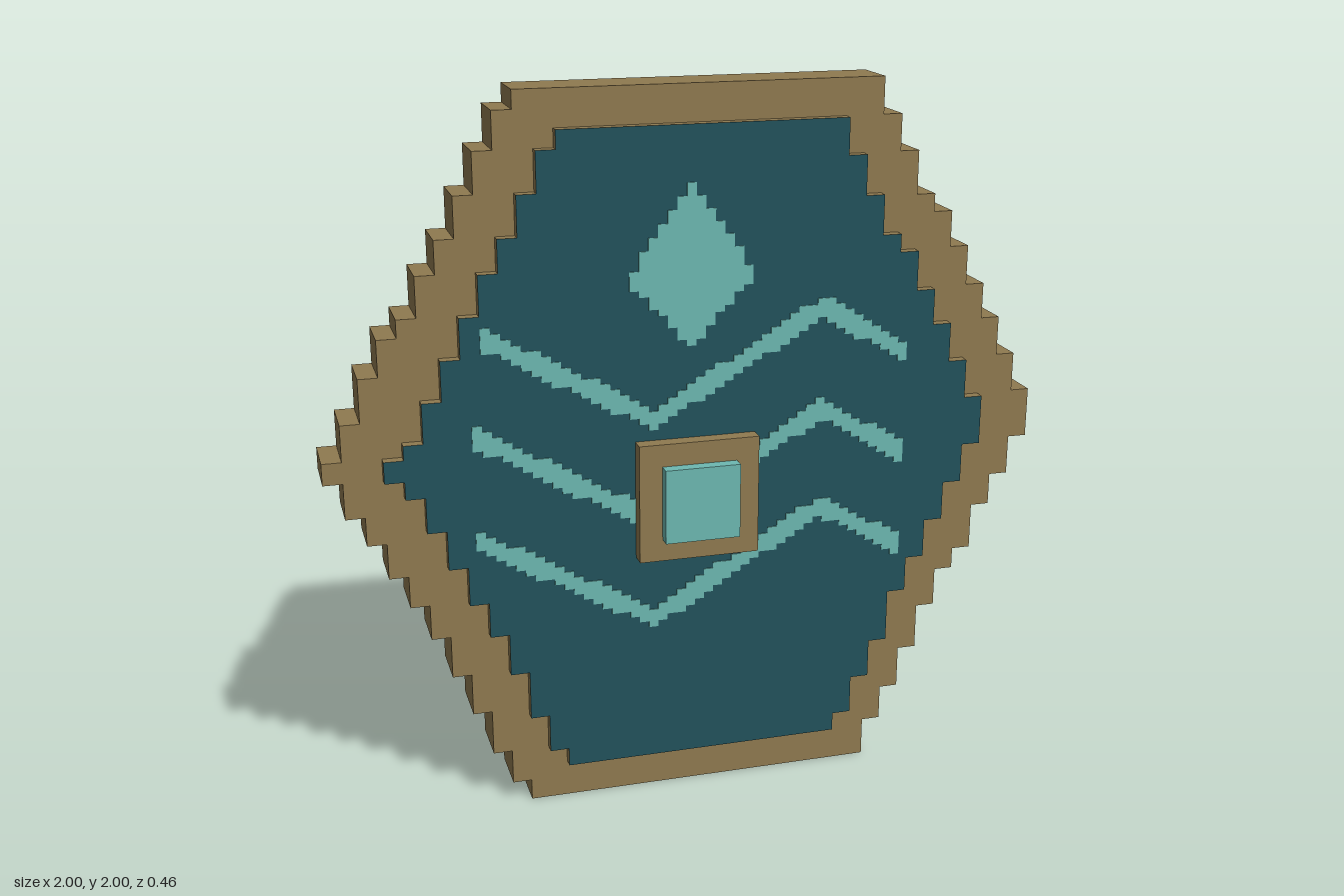
import * as THREE from 'three';

const mat = (name, color) => {
  const m = new THREE.MeshStandardMaterial({ color });
  m.name = name;
  return m;
};

export function createModel() {
  const model = new THREE.Group();
  const wood = mat('tan wood', 0x8f7a50);
  const blue = mat('deep teal', 0x22525c);
  const mint = mat('pale turquoise', 0x6db8b1);
  const brown = mat('dark brown', 0x4c372b);
  const CELL = 0.0526;

  const add = (name, geometry, material, parent = model) => {
    const mesh = new THREE.Mesh(geometry, material);
    mesh.name = name;
    parent.add(mesh);
    return mesh;
  };

  // Box given by its limits
  const box = (name, material, [x0, x1], [y0, y1], [z0, z1], parent) => {
    const g = new THREE.BoxGeometry(x1 - x0, y1 - y0, z1 - z0);
    g.translate((x0 + x1) / 2, (y0 + y1) / 2, (z0 + z1) / 2);
    return add(name, g, material, parent);
  };

  // Flat plate of a given outline between two depths
  const plate = (name, points, z0, z1, materials) => {
    const g = new THREE.ExtrudeGeometry(new THREE.Shape(points), { depth: z1 - z0, bevelEnabled: false });
    g.translate(0, 0, z0);
    return add(name, g, materials);
  };

  // Staircase edge: walks out to the tip and back in, one cell at each listed height
  const stairs = (x, side, top, bottom, outHeights, inHeights) => {
    const p = [new THREE.Vector2(x, top)];
    const step = (y, d) => {
      p.push(new THREE.Vector2(x, y));
      x += side * d * CELL;
      p.push(new THREE.Vector2(x, y));
    };
    outHeights.forEach((y) => step(y, 1));
    inHeights.forEach((y) => step(y, -1));
    p.push(new THREE.Vector2(x, bottom));
    return p;
  };

  // Body of the shield
  const outer = [
    ...stairs(-0.474, -1, 2, 0,
      [1.95, 1.85, 1.74, 1.63, 1.54, 1.43, 1.38, 1.28, 1.16, 1.06],
      [1.0, 0.9, 0.82, 0.72, 0.63, 0.53, 0.41, 0.29, 0.16, 0.06]),
    ...stairs(0.526, 1, 2, 0,
      [1.9, 1.8, 1.68, 1.63, 1.53, 1.42, 1.32, 1.21, 1.1],
      [0.96, 0.85, 0.76, 0.63, 0.57, 0.46, 0.33, 0.21, 0.11]).reverse(),
  ];
  plate('shieldFrame', outer, -0.025, 0.12, wood);

  // Raised front panel and the inset on the back
  const inner = [
    ...stairs(-0.37, -1, 1.9, 0.107,
      [1.85, 1.74, 1.63, 1.54, 1.43, 1.32, 1.21, 1.1, 1.06],
      [1.0, 0.95, 0.85, 0.74, 0.63, 0.53, 0.41, 0.27, 0.16]),
    ...stairs(0.42, 1, 1.9, 0.107,
      [1.8, 1.69, 1.58, 1.53, 1.42, 1.32, 1.21, 1.1],
      [0.96, 0.85, 0.74, 0.63, 0.53, 0.38, 0.27, 0.16]).reverse(),
  ];
  plate('frontPanel', inner, 0.12, 0.15, [blue, wood]);
  plate('backPanel', inner, -0.028, -0.025, brown);

  // Stepped band: upper and lower edges sampled in small columns
  const steppedBand = (name, x0, x1, upper, lower) => {
    const w = CELL / 2;
    const n = Math.round((x1 - x0) / w);
    const snap = (y) => Math.round(y / 0.0175) * 0.0175;
    const above = [], below = [];
    for (let i = 0; i < n; i++) {
      const a = x0 + ((x1 - x0) * i) / n, b = x0 + ((x1 - x0) * (i + 1)) / n;
      const mid = (a + b) / 2;
      for (const x of [a, b]) {
        above.push(new THREE.Vector2(x, snap(upper(mid))));
        below.push(new THREE.Vector2(x, snap(lower(mid))));
      }
    }
    plate(name, [...below, ...above.reverse()], 0.15, 0.153, mint);
  };

  // Zigzag stripes
  const along = (path) => (x) => {
    let i = 0;
    while (i < path.length - 2 && x > path[i + 1][0]) i++;
    const [[xa, ya], [xb, yb]] = [path[i], path[i + 1]];
    return ya + ((yb - ya) * (x - xa)) / (xb - xa);
  };
  [
    [[-0.58, 1.375], [-0.12, 1.115], [0.36, 1.395], [0.605, 1.245]],
    [[-0.61, 1.11], [-0.12, 0.825], [0.36, 1.105], [0.605, 0.955]],
    [[-0.61, 0.82], [-0.12, 0.535], [0.36, 0.82], [0.605, 0.675]],
  ].forEach((path, i) => {
    const y = along(path);
    steppedBand(`stripe${i + 1}`, path[0][0], 0.605, (x) => y(x) + 0.03, (x) => y(x) - 0.03);
  });

  // Diamond ornament
  steppedBand('diamond', -0.183, 0.157,
    along([[-0.183, 1.51], [-0.013, 1.755], [0.157, 1.51]]),
    along([[-0.183, 1.49], [-0.013, 1.31], [0.157, 1.49]]));

  // Centre boss with its gem
  box('boss', wood, [-0.17, 0.167], [0.72, 1.055], [0.15, 0.193]);
  box('gem', mint, [-0.106, 0.104], [0.782, 0.992], [0.193, 0.228]);

  // Grips on the back: two posts and a bar each
  const grip = (name, y, outerX, innerX, postH, postZ, barH, barZ) => {
    const group = new THREE.Group();
    group.name = name;
    model.add(group);
    box('rightPost', wood, [-outerX, -innerX], [y - postH, y + postH], [postZ, -0.025], group);
    box('leftPost', wood, [innerX, outerX], [y - postH, y + postH], [postZ, -0.025], group);
    box('bar', brown, [-outerX, outerX], [y - barH, y + barH], barZ, group);
  };
  grip('upperGrip', 1.285, 0.257, 0.192, 0.04, -0.147, 0.033, [-0.157, -0.12]);
  grip('middleGrip', 0.845, 0.272, 0.212, 0.081, -0.198, 0.043, [-0.228, -0.175]);
  grip('lowerGrip', 0.4, 0.257, 0.192, 0.04, -0.147, 0.033, [-0.157, -0.12]);

  return model;
}
